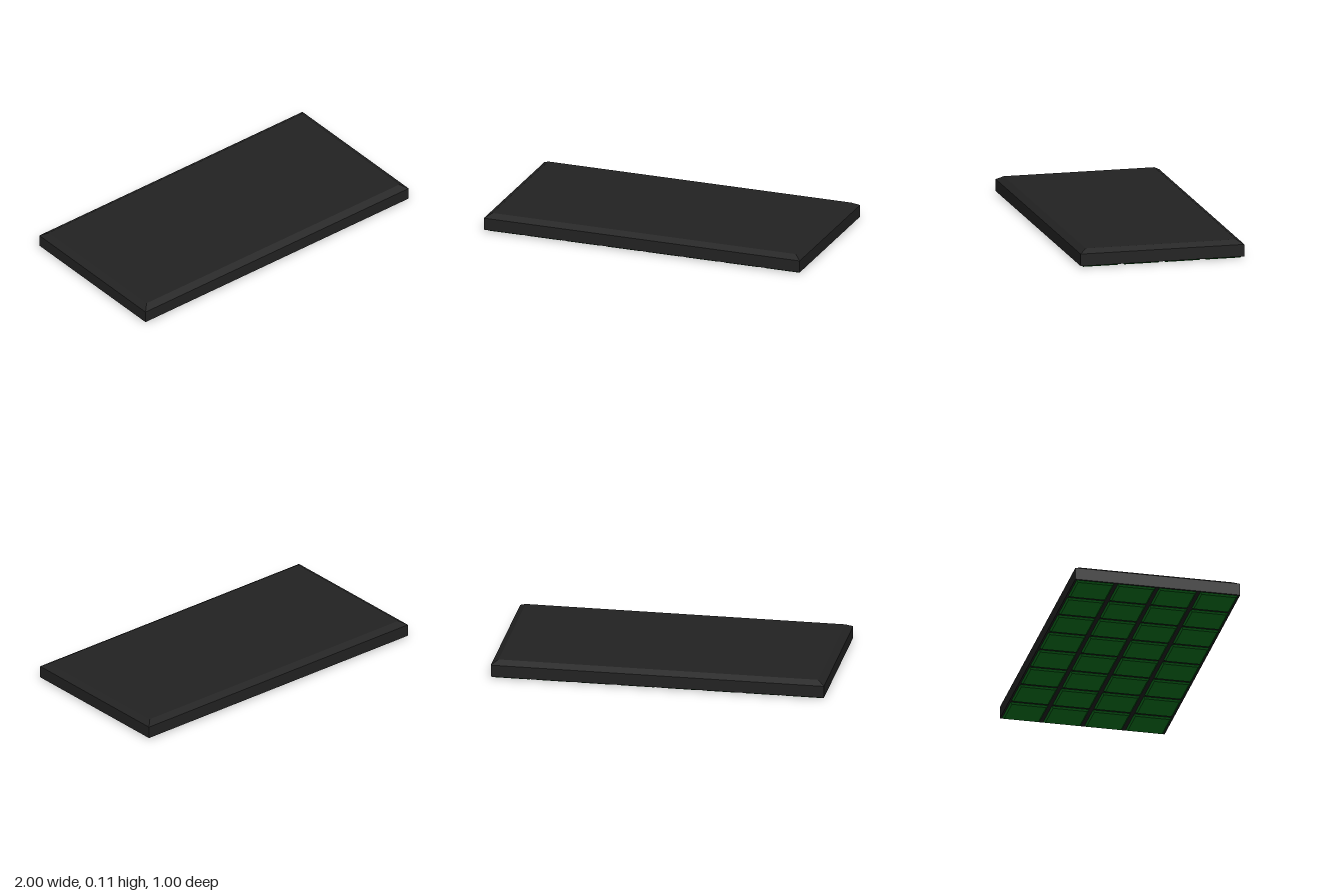
import * as THREE from 'three';

// Box from y0 to y1 whose top and bottom rectangles may be inset to form sloped sides
function taperedBox(w, d, y0, y1, insetBottom, insetTop) {
  const g = new THREE.BoxGeometry(w, y1 - y0, d).toNonIndexed();
  const p = g.attributes.position;
  for (let i = 0; i < p.count; i++) {
    const inset = p.getY(i) > 0 ? insetTop : insetBottom;
    p.setX(i, p.getX(i) - Math.sign(p.getX(i)) * inset);
    p.setZ(i, p.getZ(i) - Math.sign(p.getZ(i)) * inset);
  }
  g.translate(0, (y0 + y1) / 2, 0);
  g.computeVertexNormals();
  return g;
}

// Slab outline with a straight rim and a chamfered top, as one closed shell
function slabGeometry() {
  const rings = [[0, 0.01], [0, 0.083], [0.04, 0.107]]; // inset, height
  const corners = [[1, 1], [1, -1], [-1, -1], [-1, 1]];
  const point = (r, c) => {
    const [inset, y] = rings[r], [sx, sz] = corners[c % 4];
    return [sx * (1 - inset), y, sz * (0.5 - inset)];
  };
  const v = [];
  const quad = (a, b, c, d) => v.push(...a, ...b, ...c, ...a, ...c, ...d);
  for (let r = 0; r < 2; r++)
    for (let c = 0; c < 4; c++)
      quad(point(r, c), point(r, c + 1), point(r + 1, c + 1), point(r + 1, c));
  quad(point(2, 0), point(2, 1), point(2, 2), point(2, 3));
  quad(point(0, 3), point(0, 2), point(0, 1), point(0, 0));
  const g = new THREE.BufferGeometry();
  g.setAttribute('position', new THREE.Float32BufferAttribute(v, 3));
  g.computeVertexNormals();
  return g;
}

export function createModel() {
  const model = new THREE.Group();
  model.name = 'panel';

  // Dark chamfered slab
  const slab = new THREE.Mesh(slabGeometry(), new THREE.MeshStandardMaterial({ color: 0x222222 }));
  slab.name = 'slab';
  model.add(slab);

  // Green pads under the slab, 8 by 4, narrowing downwards
  const pads = new THREE.Group();
  pads.name = 'undersidePads';
  const padGeometry = taperedBox(0.228, 0.228, 0, 0.0105, 0.01, 0);
  const green = new THREE.MeshStandardMaterial({ color: 0x08781f });
  for (let i = 0; i < 8; i++)
    for (let j = 0; j < 4; j++) {
      const pad = new THREE.Mesh(padGeometry, green);
      pad.name = 'pad';
      pad.position.set((i - 3.5) * 0.25, 0, (j - 1.5) * 0.25);
      pads.add(pad);
    }
  model.add(pads);
  return model;
}
